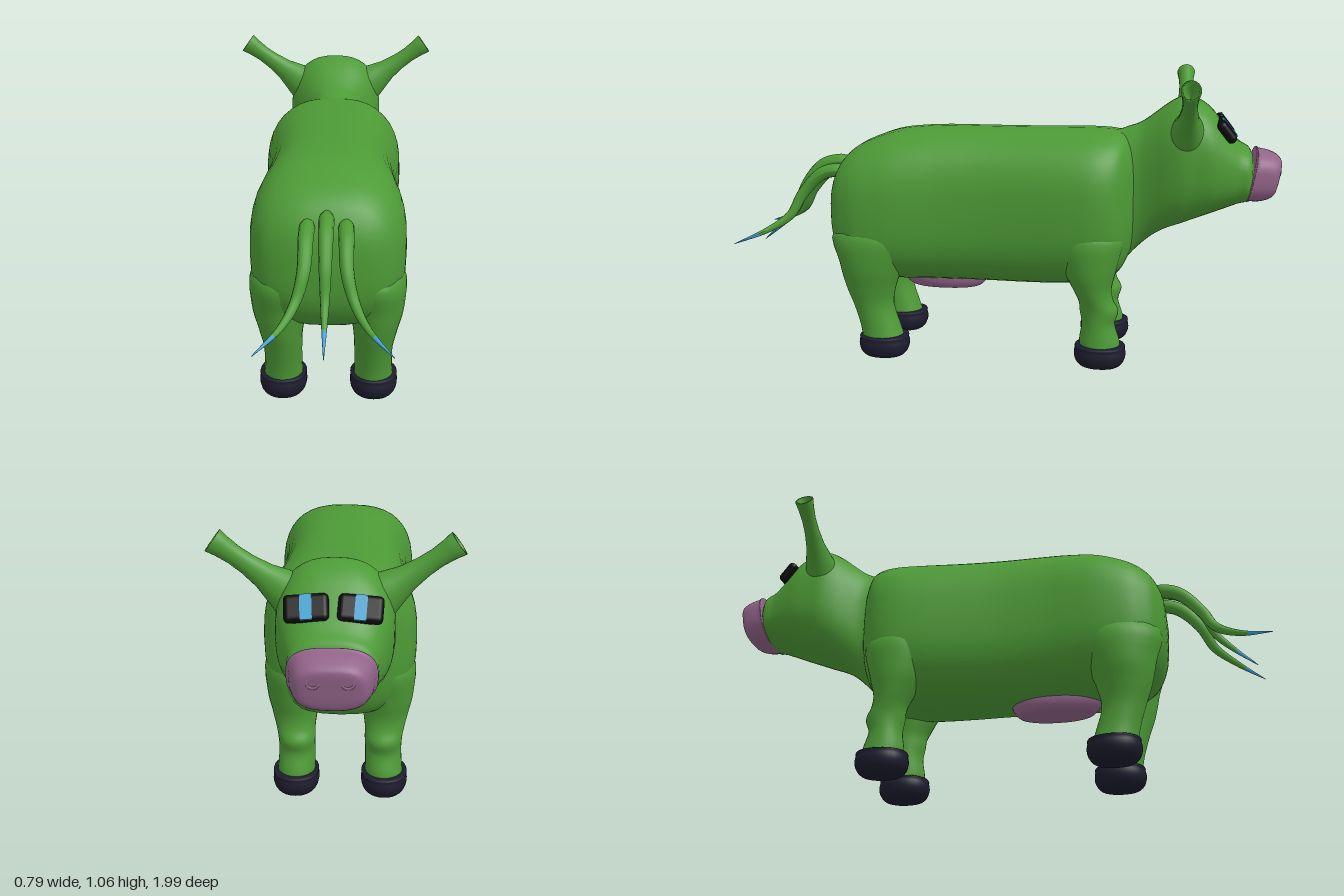
import * as THREE from 'three';
import { RoundedBoxGeometry } from 'three/addons/geometries/RoundedBoxGeometry.js';

const mat = (color) => new THREE.MeshStandardMaterial({ color });
const GREEN = mat(0x4d9a36), PINK = mat(0x93648a), DARK_PINK = mat(0x5e3d58);
const HOOF = mat(0x1c1c2e), BLACK = mat(0x0c0c0e), BLUE = mat(0x3f9fce);
const EAR = GREEN.clone();
EAR.side = THREE.DoubleSide;

// Smooth blend through the rows of a section list
function spline(rows, steps) {
  const out = [], last = rows.length - 1;
  for (let i = 0; i < last; i++) {
    const [a, b, c, d] = [rows[Math.max(i - 1, 0)], rows[i], rows[i + 1], rows[Math.min(i + 2, last)]];
    for (let k = 0; k < steps; k++) {
      const t = k / steps;
      out.push(b.map((p, n) => p + 0.5 * t * (c[n] - a[n]
        + t * (2 * a[n] - 5 * p + 4 * c[n] - d[n] + t * (3 * (p - c[n]) + d[n] - a[n])))));
    }
  }
  out.push(rows[last]);
  return out;
}

// Loft of superellipse rings along z or y; row = [along, centreX, centreOther, radiusX, radiusOther]
function loft(axis, rows, power = 2, steps = 4, seg = 40) {
  const rings = spline(rows, steps), pos = [], index = [];
  const bend = (v) => Math.sign(v) * Math.abs(v) ** (2 / power);
  rings.forEach(([t, cx, co, rx, ro], i) => {
    for (let j = 0; j < seg; j++) {
      const a = (j / seg) * Math.PI * 2, c = bend(Math.cos(a)), s = bend(Math.sin(a));
      const x = Math.max(rx, 0), o = Math.max(ro, 0);
      if (axis === 'z') pos.push(cx + x * c, co + o * s, t);
      else pos.push(cx + x * s, t, co + o * c);
      if (i < rings.length - 1) {
        const p = i * seg + j, q = i * seg + ((j + 1) % seg);
        index.push(p, q, p + seg, q, q + seg, p + seg);
      }
    }
  });
  const geo = new THREE.BufferGeometry();
  geo.setAttribute('position', new THREE.Float32BufferAttribute(pos, 3));
  geo.setIndex(index);
  geo.computeVertexNormals();
  return geo;
}

// [z, half width, bottom, top] to a loft row
const span = ([z, w, b, t]) => [z, 0, (b + t) / 2, w, (t - b) / 2];

// Tapered tail strand with a coloured tip
function strand(points) {
  const n = 40, radial = 12;
  const curve = new THREE.CatmullRomCurve3(points.map((p) => new THREE.Vector3(...p)));
  const geo = new THREE.TubeGeometry(curve, n, 1, radial);
  const p = geo.attributes.position, v = new THREE.Vector3();
  for (let i = 0; i <= n; i++) {
    const t = i / n, c = curve.getPointAt(t);
    const r = 0.001 + 0.025 * Math.min(1, 0.5 + t * 5) * (1 - t ** 1.8);
    for (let j = 0; j <= radial; j++) {
      const k = i * (radial + 1) + j;
      v.fromBufferAttribute(p, k).sub(c).multiplyScalar(r).add(c);
      p.setXYZ(k, v.x, v.y, v.z);
    }
  }
  geo.computeVertexNormals();
  const split = Math.round(n * 0.82) * radial * 6;
  geo.clearGroups();
  geo.addGroup(0, split, 0);
  geo.addGroup(split, geo.index.count - split, 1);
  return geo;
}

export function createModel() {
  const root = new THREE.Group();
  const add = (name, geo, material, parent = root) => {
    const mesh = new THREE.Mesh(geo, material);
    mesh.name = name;
    parent.add(mesh);
    return mesh;
  };

  // Barrel body
  add('body', loft('z', [
    [-0.5, 0, 0.58, 0.58], [-0.49, 0.1, 0.46, 0.76], [-0.46, 0.18, 0.37, 0.83],
    [-0.42, 0.235, 0.32, 0.85], [-0.35, 0.262, 0.3, 0.855], [-0.25, 0.26, 0.285, 0.855],
    [-0.1, 0.245, 0.28, 0.853], [0.05, 0.235, 0.28, 0.853], [0.2, 0.24, 0.28, 0.853],
    [0.3, 0.252, 0.28, 0.848], [0.4, 0.262, 0.28, 0.835], [0.5, 0.256, 0.29, 0.8],
    [0.56, 0.232, 0.32, 0.765], [0.6, 0.2, 0.36, 0.72], [0.63, 0.13, 0.43, 0.65], [0.642, 0, 0.54, 0.54],
  ].map(span), 2.7), GREEN);

  // Head and neck
  add('head', loft('z', [
    [-0.9, 0, 0.7, 0.7], [-0.895, 0.12, 0.615, 0.785], [-0.85, 0.14, 0.595, 0.82],
    [-0.8, 0.16, 0.575, 0.875], [-0.75, 0.178, 0.555, 0.935], [-0.7, 0.183, 0.535, 0.968],
    [-0.65, 0.185, 0.515, 0.975], [-0.6, 0.17, 0.495, 0.95], [-0.55, 0.145, 0.465, 0.912],
    [-0.5, 0.125, 0.42, 0.878], [-0.44, 0.12, 0.36, 0.856], [-0.38, 0.1, 0.36, 0.82], [-0.36, 0, 0.6, 0.6],
  ].map(span), 2.5), GREEN);

  // Muzzle with a front face leaning back towards the chin
  const muzzle = loft('z', [
    [-0.993, 0, 0.7, 0.7], [-0.992, 0.07, 0.645, 0.745], [-0.982, 0.102, 0.622, 0.765],
    [-0.95, 0.117, 0.608, 0.782], [-0.91, 0.127, 0.607, 0.79], [-0.895, 0.125, 0.612, 0.788], [-0.89, 0, 0.7, 0.7],
  ].map(span), 2.8);
  const mp = muzzle.attributes.position;
  for (let i = 0; i < mp.count; i++) mp.setZ(i, mp.getZ(i) + (0.7 - mp.getY(i)) * 0.18);
  muzzle.computeVertexNormals();
  add('muzzle', muzzle, PINK);

  // Udder
  add('udder', loft('y', [
    [0.238, 0, 0.22, 0, 0], [0.24, 0, 0.22, 0.055, 0.11], [0.255, 0, 0.22, 0.08, 0.145],
    [0.29, 0, 0.225, 0.09, 0.165], [0.33, 0, 0.23, 0.08, 0.15], [0.35, 0, 0.23, 0, 0],
  ], 2.2), PINK);

  // Leg sections: [y, centre x, centre z, radius x, radius z]
  const legs = {
    frontLeg: [-0.378, [
      [0.06, 0.157, -0.38, 0.068, 0.07], [0.1, 0.155, -0.375, 0.066, 0.073], [0.16, 0.153, -0.37, 0.064, 0.06],
      [0.21, 0.153, -0.372, 0.066, 0.07], [0.25, 0.157, -0.36, 0.07, 0.063], [0.3, 0.16, -0.345, 0.08, 0.072],
      [0.38, 0.165, -0.335, 0.092, 0.1], [0.5, 0.16, -0.33, 0.095, 0.12], [0.55, 0.15, -0.33, 0, 0]]],
    hindLeg: [0.43, [
      [0.06, 0.157, 0.43, 0.07, 0.08], [0.12, 0.155, 0.445, 0.065, 0.075], [0.2, 0.155, 0.468, 0.066, 0.076],
      [0.27, 0.16, 0.475, 0.076, 0.094], [0.36, 0.162, 0.47, 0.096, 0.12], [0.48, 0.155, 0.46, 0.1, 0.15],
      [0.55, 0.15, 0.45, 0, 0]]],
  };

  for (const s of [1, -1]) {
    const side = s > 0 ? 'Left' : 'Right';

    // Legs and hooves
    for (const [name, [hz, rows]] of Object.entries(legs)) {
      add(name + side, loft('y', rows.map(([y, x, ...r]) => [y, x * s, ...r]), 2, 4, 28), GREEN);
      add(name + 'Hoof' + side, loft('y', [
        [0, 0, 0], [0.002, 0.05, 0.06], [0.018, 0.073, 0.084], [0.045, 0.082, 0.094],
        [0.07, 0.08, 0.091], [0.084, 0.074, 0.083], [0.087, 0, 0],
      ].map(([y, rx, rz]) => [y, 0.157 * s, hz, rx, rz]), 2.2, 4, 28), HOOF);
    }

    // Trumpet-shaped ear, hollow at the tip
    const profile = [[0.075, -0.02], [0.058, 0.03], [0.042, 0.08], [0.033, 0.14], [0.031, 0.19],
      [0.035, 0.235], [0.041, 0.268], [0.032, 0.268], [0.024, 0.24], [0, 0.21]];
    const ear = add('ear' + side,
      new THREE.LatheGeometry(profile.map((p) => new THREE.Vector2(...p)), 24), EAR);
    ear.position.set(0.152 * s, 0.872, -0.665);
    ear.rotation.z = -0.945 * s;
    ear.scale.z = 0.82;

    // Eye plate with a bright upright stripe
    const eye = new THREE.Group();
    eye.name = 'eye' + side;
    eye.position.set(0.08 * s, 0.868, -0.8);
    eye.rotation.set(-0.9, 0.1 * s, -0.12 * s, 'YXZ');
    add('eyePlate', new RoundedBoxGeometry(0.135, 0.035, 0.085, 4, 0.016), BLACK, eye);
    add('eyeStripe', new THREE.BoxGeometry(0.036, 0.037, 0.078), BLUE, eye);
    root.add(eye);

    // Nostril ring and recess
    const ring = add('nostril' + side, new THREE.TorusGeometry(0.017, 0.006, 10, 20), PINK);
    ring.position.set(0.05 * s, 0.722, -0.991);
    const hole = add('nostrilHole' + side, new THREE.SphereGeometry(0.015, 16, 10), DARK_PINK);
    hole.position.copy(ring.position);
    hole.scale.z = 0.3;

    // Outer tail strand
    add('tailStrand' + side, strand([
      [0.06 * s, 0.69, 0.57], [0.063 * s, 0.67, 0.68], [0.067 * s, 0.59, 0.76],
      [0.09 * s, 0.51, 0.805], [0.13 * s, 0.46, 0.88], [0.207 * s, 0.42, 0.985],
    ]), [GREEN, BLUE]);
  }

  // Middle tail strand
  add('tailStrandMiddle', strand([
    [0, 0.715, 0.57], [0, 0.695, 0.69], [0, 0.61, 0.77], [0, 0.52, 0.81], [0, 0.46, 0.865], [0, 0.39, 0.945],
  ]), [GREEN, BLUE]);

  return root;
}
